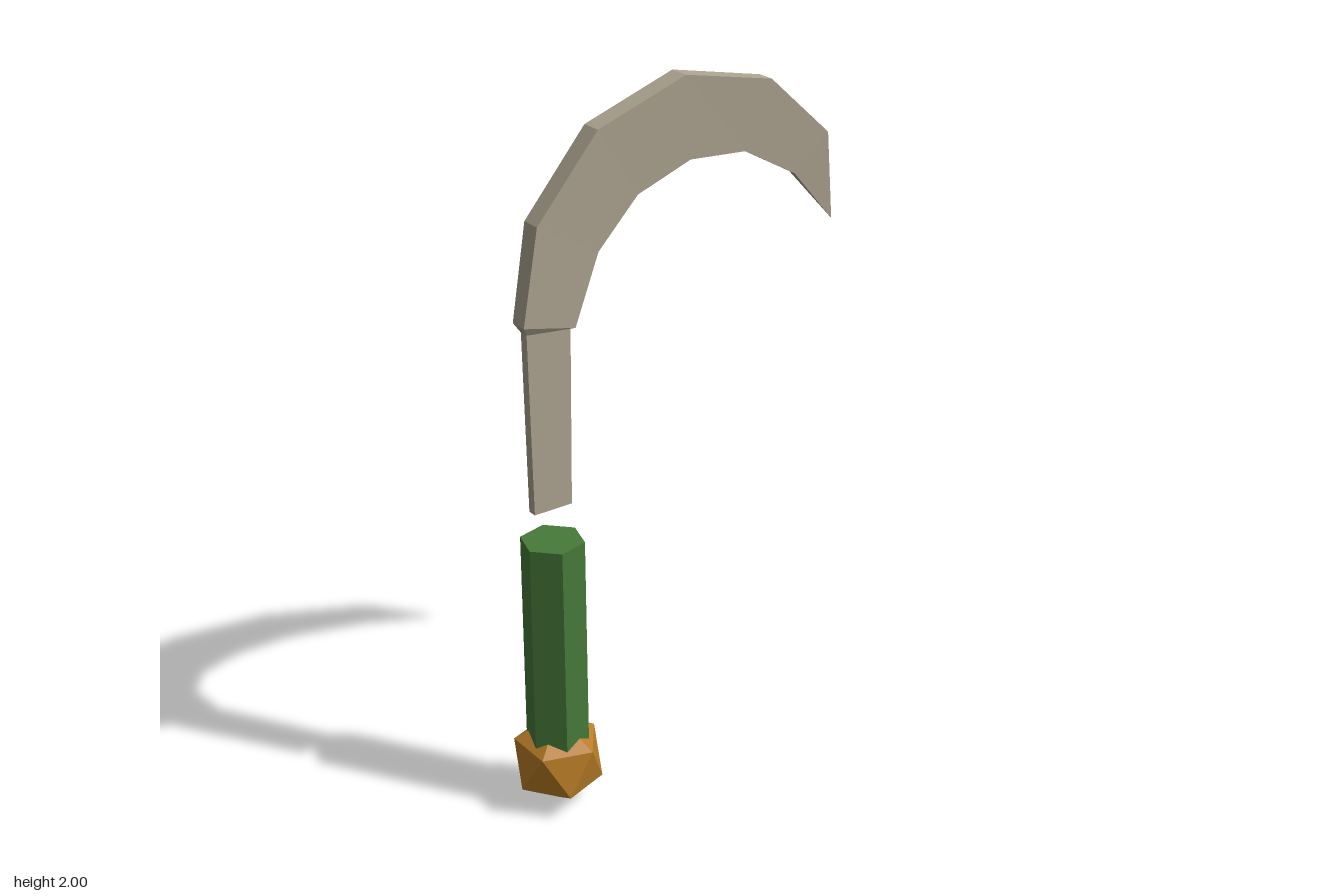
import * as THREE from 'three';
import { ConvexGeometry } from 'three/addons/geometries/ConvexGeometry.js';

const AXIS_X = -0.405;

const flat = (name, color) => {
  const m = new THREE.MeshStandardMaterial({ color, flatShading: true });
  m.name = name;
  return m;
};

function addPart(group, name, geometry, material) {
  const mesh = new THREE.Mesh(geometry, material);
  mesh.name = name;
  group.add(mesh);
  return mesh;
}

// Lofts four-cornered sections: [outerX, outerY, outerHalfZ, innerX, innerY, innerHalfZ]
function loftBlade(sections) {
  const rings = sections.map(([ox, oy, oz, ix, iy, iz]) => [
    [ox, oy, oz], [ix, iy, iz], [ix, iy, -iz], [ox, oy, -oz],
  ]);
  const pos = [];
  const tri = (a, b, c) => pos.push(...a, ...b, ...c);
  const last = rings.length - 1;
  for (let i = 0; i < last; i++) {
    for (let k = 0; k < 4; k++) {
      const n = (k + 1) % 4;
      tri(rings[i][k], rings[i][n], rings[i + 1][n]);
      // the final section is a single point
      if (i + 1 < last) tri(rings[i][k], rings[i + 1][n], rings[i + 1][k]);
    }
  }
  const [a, b, c, d] = rings[0];
  tri(a, d, c);
  tri(a, c, b);
  const geo = new THREE.BufferGeometry();
  geo.setAttribute('position', new THREE.Float32BufferAttribute(pos, 3));
  geo.computeVertexNormals();
  return geo;
}

// Twenty-sided knob standing on one corner
function knobGeometry(radius) {
  const points = [new THREE.Vector3(0, radius, 0), new THREE.Vector3(0, -radius, 0)];
  const ring = radius * 2 / Math.sqrt(5);
  const height = radius / Math.sqrt(5);
  for (let i = 0; i < 5; i++) {
    const t = i * Math.PI * 2 / 5;
    const x = Math.cos(t) * ring, z = Math.sin(t) * ring;
    points.push(new THREE.Vector3(x, height, z), new THREE.Vector3(-x, -height, z));
  }
  return new ConvexGeometry(points);
}

export function createModel() {
  const group = new THREE.Group();
  group.name = 'sickle';
  const steel = flat('dull steel', 0xaea591);
  const green = flat('green grip', 0x477a3a);
  const brass = flat('brass', 0xb87d26);

  // Hooked blade with its narrow tang
  addPart(group, 'blade', loftBlade([
    [-0.465, 0.91, 0.013, -0.35, 0.91, 0.013],
    [-0.473, 1.415, 0.013, -0.342, 1.403, 0.013],
    [-0.488, 1.44, 0.025, -0.33, 1.402, 0.018],
    [-0.443, 1.697, 0.028, -0.258, 1.59, 0.02],
    [-0.26, 1.909, 0.029, -0.136, 1.715, 0.02],
    [0.007, 2.0, 0.029, 0.028, 1.774, 0.02],
    [0.283, 1.941, 0.025, 0.208, 1.76, 0.016],
    [0.484, 1.76, 0.017, 0.377, 1.665, 0.011],
    [0.519, 1.506, 0, 0.519, 1.506, 0],
  ]), steel);

  // Six-sided grip, its foot sunk into the knob
  const grip = addPart(group, 'grip', new THREE.CylinderGeometry(0.087, 0.087, 0.675, 6), green);
  grip.position.set(AXIS_X, 0.4775, 0);
  grip.rotation.y = THREE.MathUtils.degToRad(-16.5);

  const pommel = addPart(group, 'pommel', knobGeometry(0.134), brass);
  pommel.position.set(AXIS_X, 0.138, 0);

  return group;
}
